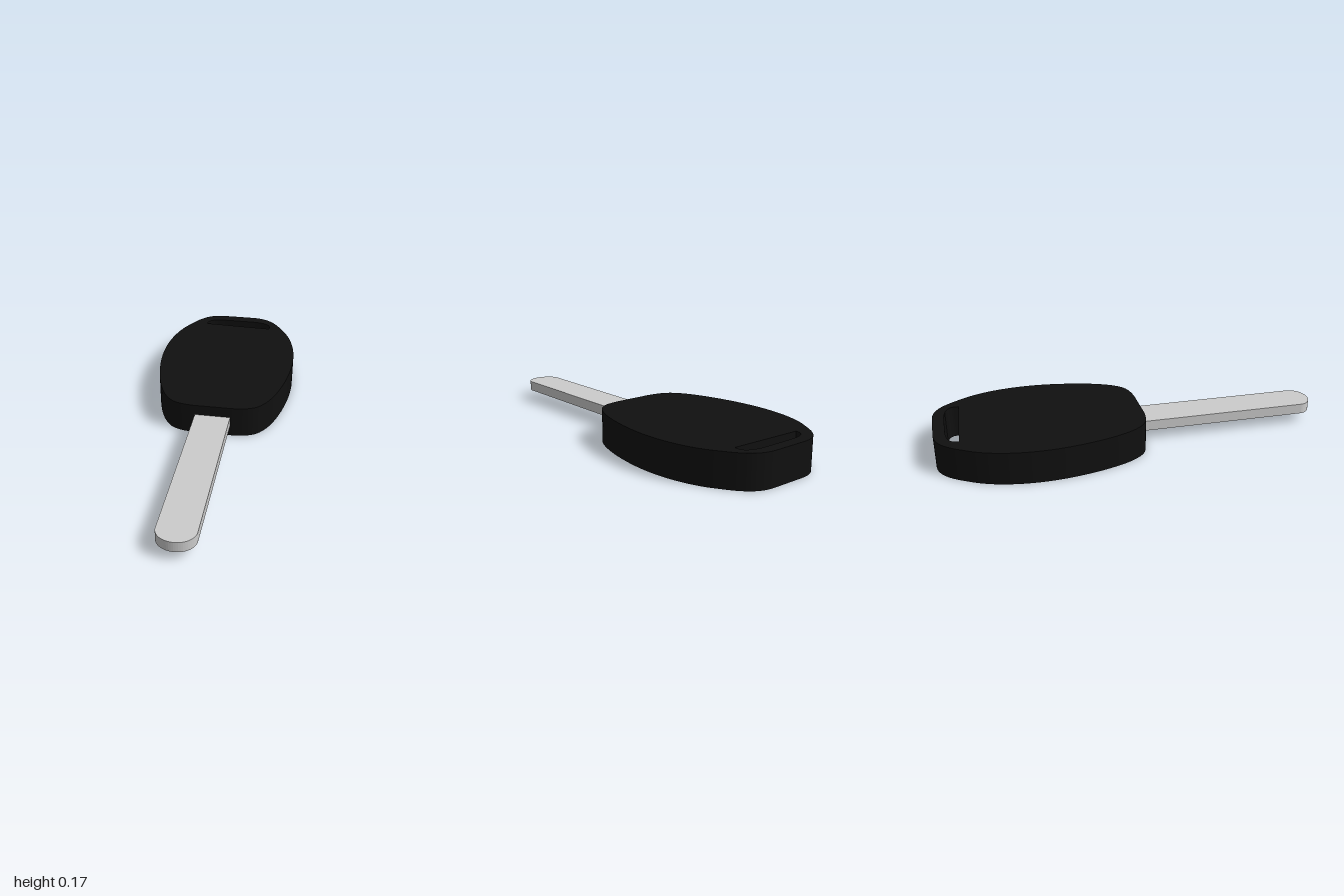
import * as THREE from 'three';

// Extrudes a plan outline (x, -z) upward from y = base
function slab(name, shape, base, height, color) {
  const geometry = new THREE.ExtrudeGeometry(shape, {
    depth: height, bevelEnabled: false, curveSegments: 12,
  });
  geometry.rotateX(-Math.PI / 2);
  geometry.translate(0, base, 0);
  const mesh = new THREE.Mesh(geometry, new THREE.MeshStandardMaterial({ color }));
  mesh.name = name;
  return mesh;
}

export function createModel() {
  const group = new THREE.Group();
  group.name = 'key';

  // Head: rounded barrel outline, widest near its middle
  const head = new THREE.Shape();
  head.moveTo(-0.1, -0.05);
  head.lineTo(0.1, -0.05);
  head.bezierCurveTo(0.18, -0.045, 0.22, -0.03, 0.25, 0.01);
  head.bezierCurveTo(0.32, 0.09, 0.373, 0.33, 0.373, 0.49);
  head.bezierCurveTo(0.373, 0.64, 0.34, 0.77, 0.28, 0.86);
  head.bezierCurveTo(0.23, 0.95, 0.18, 1.0, 0.09, 1.0);
  head.lineTo(-0.09, 1.0);
  head.bezierCurveTo(-0.18, 1.0, -0.23, 0.95, -0.28, 0.86);
  head.bezierCurveTo(-0.34, 0.77, -0.373, 0.64, -0.373, 0.49);
  head.bezierCurveTo(-0.373, 0.33, -0.32, 0.09, -0.25, 0.01);
  head.bezierCurveTo(-0.22, -0.03, -0.18, -0.045, -0.1, -0.05);

  // Key ring slot through the far end of the head
  const slot = new THREE.Path();
  slot.moveTo(-0.185, 0.88);
  slot.bezierCurveTo(-0.185, 0.93, -0.14, 0.94, -0.07, 0.942);
  slot.lineTo(0.09, 0.942);
  slot.bezierCurveTo(0.15, 0.94, 0.2, 0.925, 0.2, 0.89);
  slot.lineTo(0.2, 0.865);
  slot.lineTo(-0.185, 0.88);
  head.holes.push(slot);
  group.add(slab('head', head, 0, 0.167, 0x101010));

  // Blade: slightly slanted bar with a rounded tip, seated in the head
  const blade = new THREE.Shape();
  blade.moveTo(-0.094, 0);
  blade.lineTo(-0.105, -0.93);
  blade.bezierCurveTo(-0.1, -0.975, -0.055, -1.0, -0.012, -1.0);
  blade.bezierCurveTo(0.03, -1.0, 0.072, -0.975, 0.079, -0.93);
  blade.lineTo(0.091, 0);
  blade.closePath();
  group.add(slab('blade', blade, 0.057, 0.054, 0xcccccc));

  return group;
}
